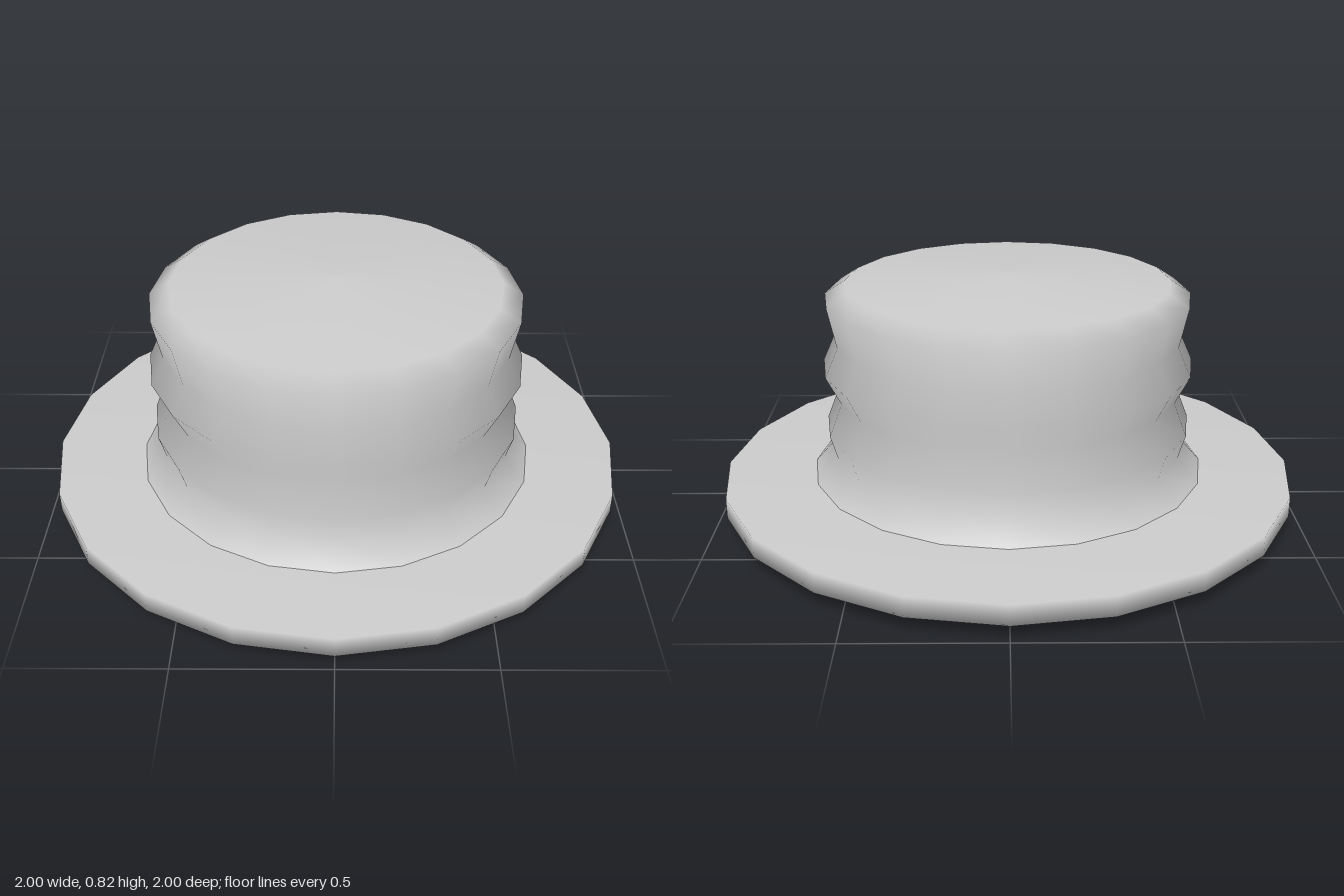
import * as THREE from 'three';

const SIDES = 20;

// Smooth-shaded turned part from [radius, height] pairs, listed bottom to top
function turned(name, profile) {
  const points = profile.map(([r, y]) => new THREE.Vector2(r, y));
  const material = new THREE.MeshStandardMaterial({ color: 0xcccccc, side: THREE.DoubleSide });
  const mesh = new THREE.Mesh(new THREE.LatheGeometry(points, SIDES), material);
  mesh.name = name;
  return mesh;
}

export function createModel() {
  const hat = new THREE.Group();
  hat.name = 'hat';

  // Wide flat brim with a shallow tapered underside
  const brim = turned('brim', [
    [0, 0], [0.65, 0.006], [1, 0.055], [1, 0.125], [0, 0.125],
  ]);

  // Crown with a flared foot, two ridges and a slightly domed top
  const crown = turned('crown', [
    [0.69, 0.125], [0.615, 0.21], [0.64, 0.295], [0.595, 0.41],
    [0.645, 0.51], [0.6, 0.61], [0.63, 0.75], [0.56, 0.795], [0, 0.822],
  ]);
  crown.position.z = 0.02;

  hat.add(brim, crown);
  return hat;
}
